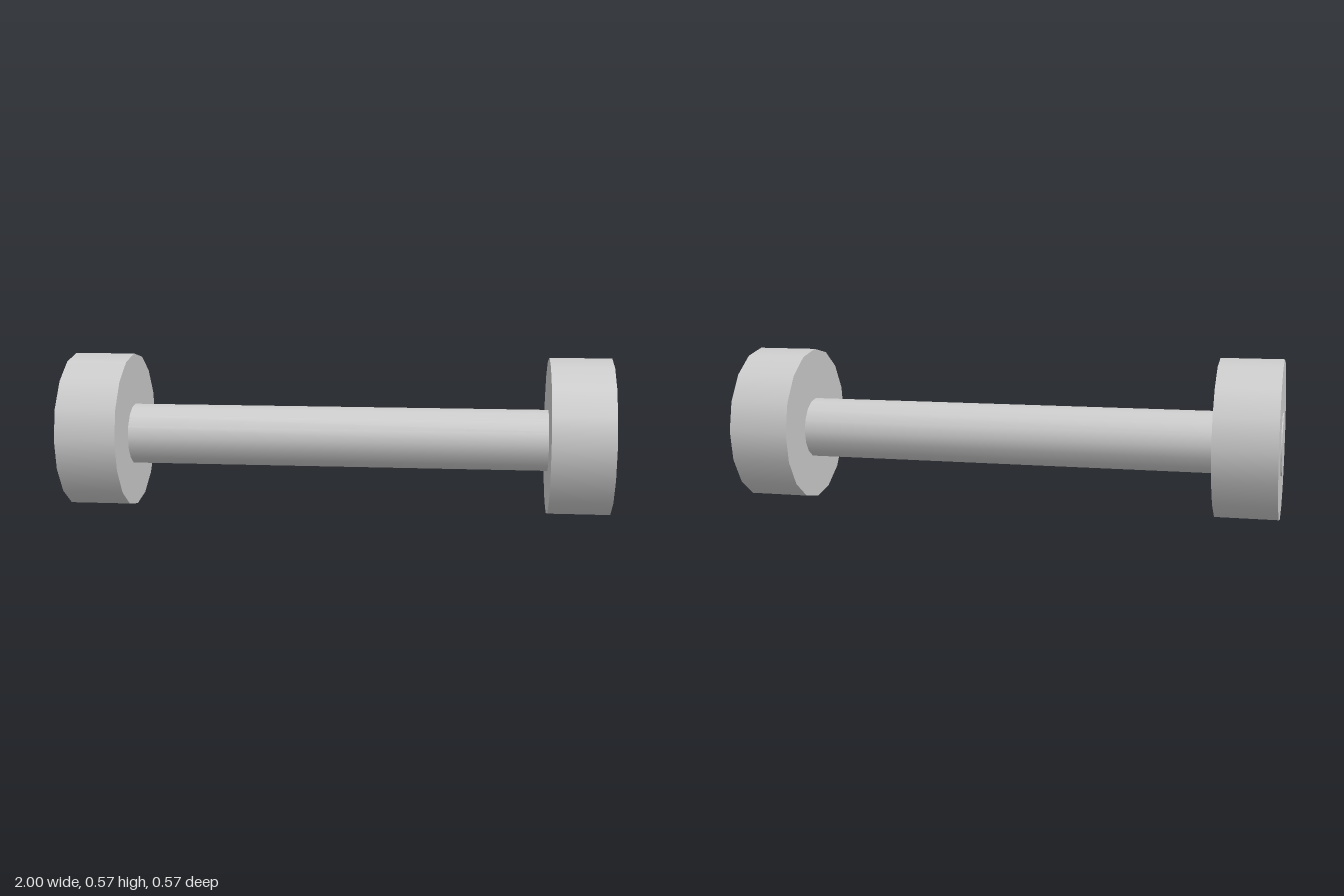
import * as THREE from 'three';

const SIDES = 16;
const material = new THREE.MeshStandardMaterial({ color: 0xcccccc });

// Cylinder lying along x, from x0 to x1, with its axis at height y
function rod(name, radius, x0, x1, y) {
  const geometry = new THREE.CylinderGeometry(radius, radius, x1 - x0, SIDES);
  geometry.rotateZ(-Math.PI / 2);
  const mesh = new THREE.Mesh(geometry, material);
  mesh.name = name;
  mesh.position.set((x0 + x1) / 2, y, 0);
  return mesh;
}

export function createModel() {
  const group = new THREE.Group();
  group.name = 'dumbbell';

  // Handle bar runs through both weights, slightly below their centres
  group.add(rod('handleBar', 0.113, -1, 1, 0.271));

  // End weights, stopping just short of the bar tips
  group.add(rod('rightWeight', 0.287, -0.996, -0.773, 0.287));
  group.add(rod('leftWeight', 0.287, 0.769, 0.992, 0.287));

  return group;
}
